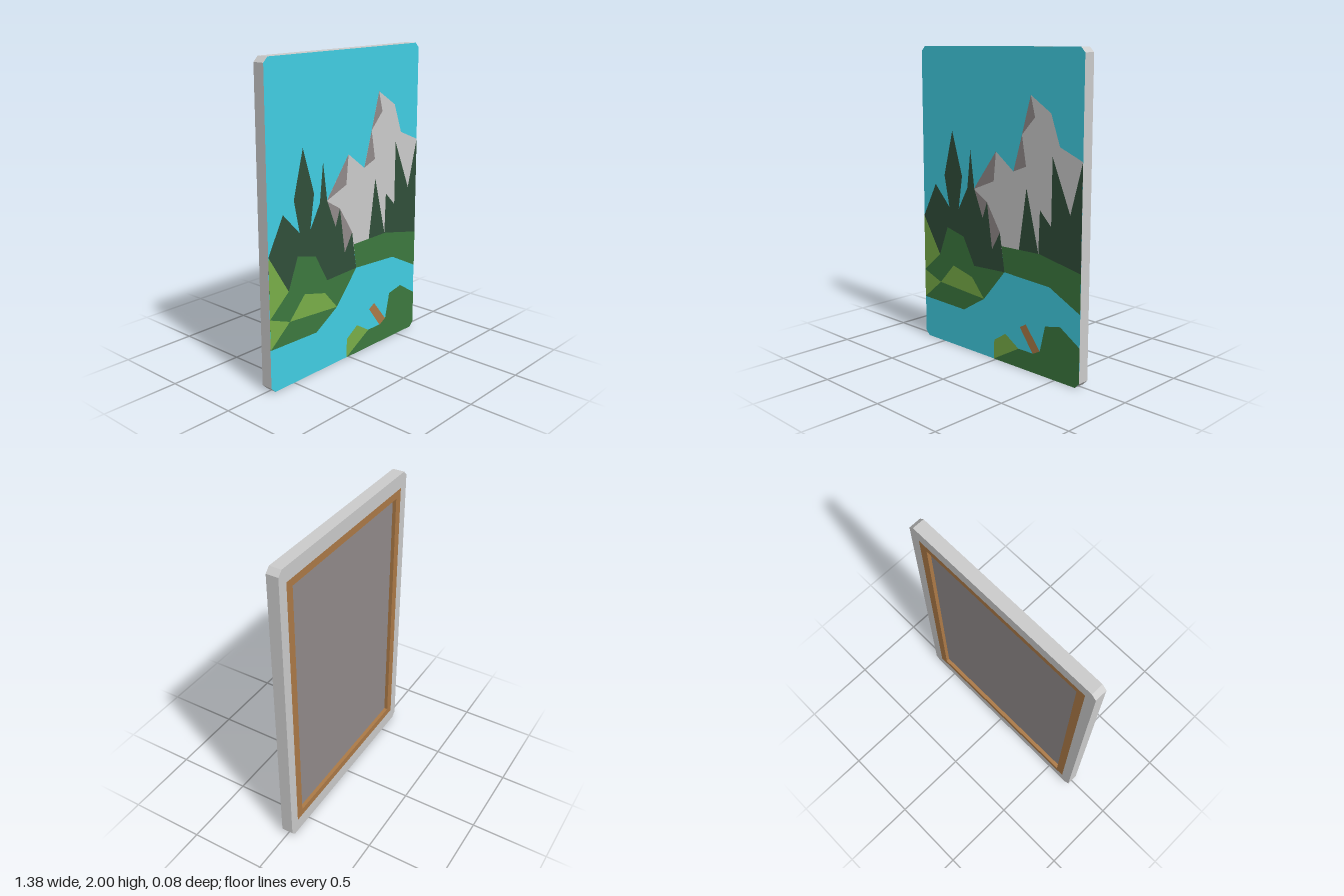
import * as THREE from 'three';

const mat = (color) => new THREE.MeshStandardMaterial({ color, flatShading: true });
const W = 0.692, FRONT = 0.038, BACK = -0.04;

const polygon = (pts) => new THREE.Shape(pts.map(([x, y]) => new THREE.Vector2(x, y)));
const rect = (hw, y0, y1) => [[-hw, y0], [hw, y0], [hw, y1], [-hw, y1]];

export function createModel() {
  const model = new THREE.Group();
  const grey = mat(0xcccccc), sky = mat(0x41cee3), shade = mat(0x928b8b), wood = mat(0xac7a47);
  const pine = mat(0x314f3a), grass = mat(0x3c793f), lightGrass = mat(0x79ae48);

  const add = (name, geometry, material) => {
    const mesh = new THREE.Mesh(geometry, material);
    mesh.name = name;
    model.add(mesh);
    return mesh;
  };
  // Extruded plate from z0 to z1, optionally with a window cut out
  const plate = (name, outline, hole, z0, z1, material) => {
    const shape = polygon(outline);
    if (hole) shape.holes.push(polygon(hole));
    const geo = new THREE.ExtrudeGeometry(shape, { depth: z1 - z0, bevelEnabled: false });
    add(name, geo.translate(0, 0, z0), material);
  };

  // Panel with clipped corners
  const c = 0.032, i = W - c;
  const outline = [[-i, 0], [i, 0], [W, c], [W, 2 - c], [i, 2], [-i, 2], [-W, 2 - c], [-W, c]];
  const frameOuter = rect(0.625, 0.095, 1.905), frameInner = rect(0.57, 0.145, 1.855);
  plate('canvasRim', outline, frameOuter, BACK, 0.03, grey);
  plate('skyPanel', outline, null, 0.03, FRONT, [sky, grey]);
  plate('backFrame', frameOuter, frameInner, BACK, 0.03, wood);
  plate('backPanel', frameInner, null, -0.016, 0.03, shade);

  // Flat painted pieces, each layer a hair in front of the one before
  const paint = (name, layer, material, ...polys) => {
    const geo = new THREE.ShapeGeometry(polys.map(polygon));
    add(name, geo, material).position.z = FRONT + layer * 0.0004;
  };

  paint('mountain', 1, grey,
    [[-0.2, 1.1], [0, 1.36], [0.15, 1.25], [0.22, 1.48], [0.29, 1.72], [0.45, 1.62],
      [0.52, 1.43], [W, 1.36], [W, 0.68], [0.06, 0.7], [-0.1, 0.8]]);
  paint('mountainShadows', 2, shade,
    [[-0.2, 1.1], [-0.02, 1.17], [0, 1.36]],
    [[0.15, 1.25], [0.255, 1.29], [0.22, 1.48]],
    [[0.22, 1.48], [0.325, 1.59], [0.29, 1.72]],
    [[-0.2, 1.1], [-0.08, 1.03], [0.035, 0.85], [0, 0.68], [-0.12, 0.7]]);
  paint('leftPines', 3, pine,
    [[-W, 0.86], [-0.57, 1.09], [-0.435, 0.95], [-0.48, 1.16], [-0.4, 1.46], [-0.31, 1.17],
      [-0.345, 0.95], [-0.26, 1.1], [-0.23, 1.35], [-0.195, 1.1], [-0.12, 0.92], [-0.08, 1.03],
      [-0.035, 0.73], [0.035, 0.85], [0.075, 0.6], [-0.2, 0.57], [-W, 0.57]]);
  paint('rightPines', 3, pine,
    [[0.195, 0.74], [0.26, 1.16], [0.36, 0.77], [0.37, 1.04], [0.46, 0.95], [0.465, 1.37],
      [0.605, 1.04], [W, 1.36], [W, 0.66], [0.37, 0.74]]);
  paint('farBank', 4, grass,
    [[0.075, 0.6], [0.45, 0.58], [W, 0.46], [W, 0.705], [0.37, 0.77], [0.05, 0.765]]);
  paint('leftBank', 4, grass,
    [[-W, 0.475], [-0.535, 0.61], [-0.455, 0.81], [-0.3, 0.77], [-0.2, 0.59], [0.075, 0.6],
      [-0.11, 0.385], [-0.3, 0.27], [-W, 0.28]]);
  paint('leftBankHighlights', 5, lightGrass,
    [[-W, 0.86], [-W, 0.475], [-0.535, 0.61]],
    [[-W, 0.475], [-W, 0.28], [-0.53, 0.415]],
    [[-0.53, 0.415], [-0.11, 0.385], [-0.22, 0.51], [-0.4, 0.555]]);

  // Near shore with a fallen log
  paint('log', 3, wood, [[0.21, 0.27], [0.33, 0.11], [0.39, 0.14], [0.26, 0.3]]);
  paint('nearBank', 4, grass,
    [[-0.02, 0], [i, 0], [W, c], [W, 0.255], [0.54, 0.35], [0.42, 0.325], [0.38, 0.155],
      [0.325, 0.125], [0.2, 0.125]]);
  paint('nearBankHighlight', 5, lightGrass,
    [[-0.02, 0], [0.2, 0.125], [0.085, 0.195], [-0.015, 0.13]]);

  return model;
}
